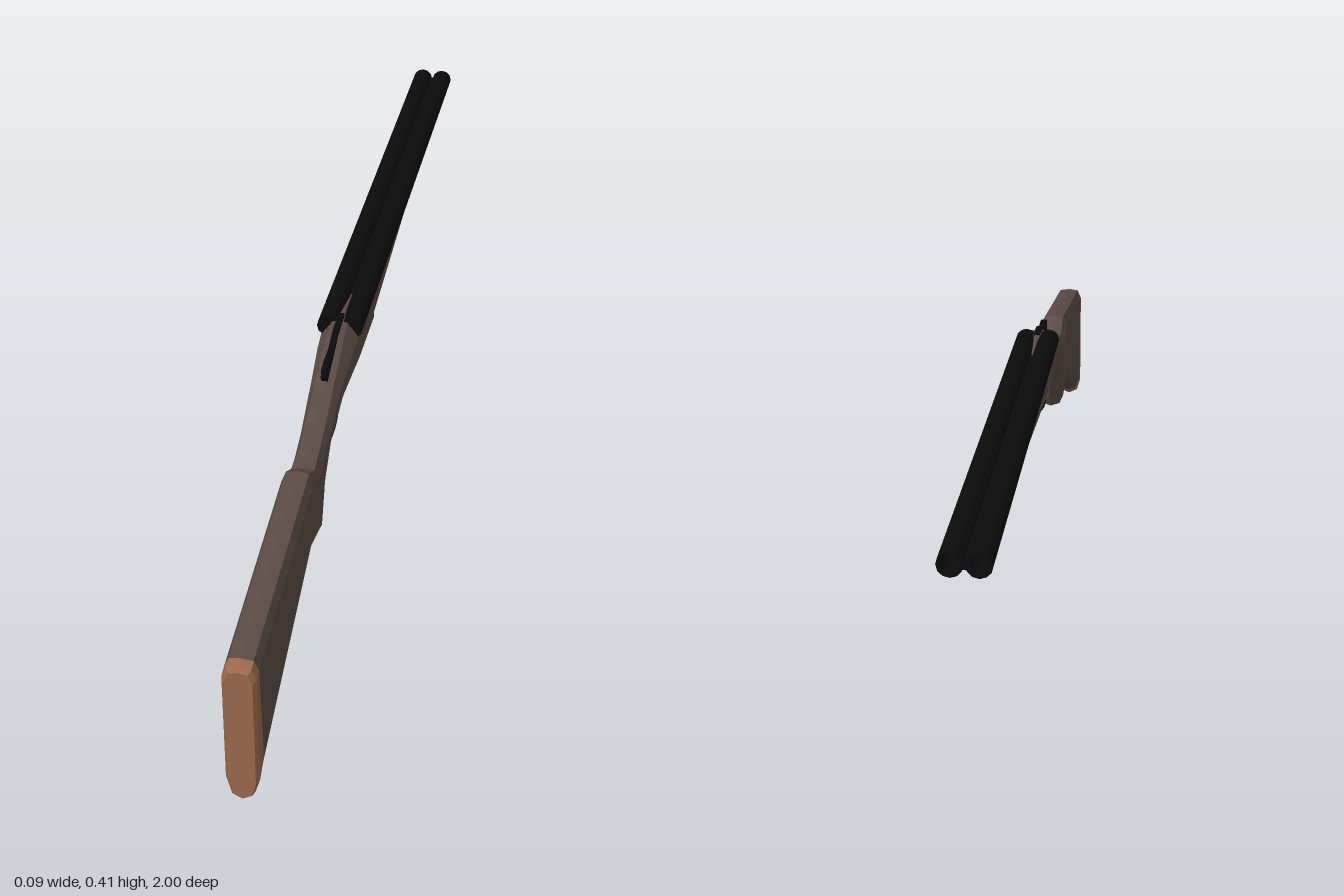
import * as THREE from 'three';

const mat = (name, color) => {
  const m = new THREE.MeshStandardMaterial({ color });
  m.name = name;
  return m;
};

// Closed faceted loft. Each station: [zTop, yTop, zBottom, yBottom, halfWidth, topBevel, bottomBevel, topRatio]
function loft(stations) {
  const rings = stations.map(([zt, yt, zb, yb, w, ct, cb, k]) => {
    const side = [
      [0.72 * w, yb + 0.25 * cb], [w, yb + cb], [w, yt - ct], [k * w, yt - 0.12 * ct],
    ];
    const pts = [[0, yb], ...side, [0, yt], ...side.map(([x, y]) => [-x, y]).reverse()];
    return pts.map(([x, y]) => new THREE.Vector3(x, y, zb + (zt - zb) * (y - yb) / (yt - yb)));
  });
  const tris = [];
  const n = rings[0].length;
  for (let i = 0; i < rings.length - 1; i++) {
    for (let j = 0; j < n; j++) {
      const a = rings[i][j], b = rings[i][(j + 1) % n];
      const c = rings[i + 1][(j + 1) % n], d = rings[i + 1][j];
      tris.push(a, d, b, b, d, c);
    }
  }
  const first = rings[0], last = rings[rings.length - 1];
  for (let j = 1; j < n - 1; j++) {
    tris.push(first[0], first[j], first[j + 1], last[0], last[j + 1], last[j]);
  }
  const g = new THREE.BufferGeometry().setFromPoints(tris);
  g.computeVertexNormals();
  return g;
}

// Round bar through [z, y] points in the middle plane
function bar(points, radius, closed = false) {
  const curve = new THREE.CatmullRomCurve3(points.map(([z, y]) => new THREE.Vector3(0, y, z)), closed);
  return new THREE.TubeGeometry(curve, closed ? 28 : 10, radius, 6, closed).scale(1.3, 1, 1);
}

export function createModel() {
  const model = new THREE.Group();
  const wood = mat('dark wood', 0x5a4a44);
  const pad = mat('butt pad brown', 0x99674d);
  const steel = mat('black steel', 0x0b0b0b);
  const add = (name, geometry, material) => {
    const mesh = new THREE.Mesh(geometry, material);
    mesh.name = name;
    model.add(mesh);
    return mesh;
  };

  // Butt pad
  add('buttPad', loft([
    [1, 0.262, 1, 0, 0.023, 0.022, 0.035, 0.7],
    [0.992, 0.267, 0.992, 0.003, 0.028, 0.022, 0.035, 0.72],
    [0.975, 0.271, 0.96, 0.021, 0.028, 0.022, 0.035, 0.72],
  ]), pad);

  // Stock, grip, neck and receiver in one flowing body
  add('stockAndReceiver', loft([
    [0.975, 0.271, 0.96, 0.021, 0.028, 0.022, 0.035, 0.72],
    [0.545, 0.327, 0.58, 0.168, 0.028, 0.022, 0.026, 0.72],
    [0.50, 0.302, 0.47, 0.143, 0.027, 0.022, 0.024, 0.72],
    [0.465, 0.306, 0.43, 0.215, 0.026, 0.022, 0.022, 0.72],
    [0.41, 0.32, 0.37, 0.265, 0.026, 0.018, 0.018, 0.7],
    [0.29, 0.366, 0.28, 0.298, 0.029, 0.024, 0.018, 0.6],
    [0.2, 0.398, 0.2, 0.302, 0.034, 0.034, 0.02, 0.48],
    [0.15, 0.404, 0.15, 0.302, 0.036, 0.034, 0.02, 0.4],
    [0, 0.385, 0, 0.301, 0.037, 0.024, 0.022, 0.4],
  ]), wood);

  // Forend under the barrels
  add('forend', loft([
    [0, 0.382, 0, 0.305, 0.036, 0.02, 0.025, 0.6],
    [-0.43, 0.38, -0.43, 0.331, 0.032, 0.014, 0.022, 0.6],
    [-0.452, 0.378, -0.452, 0.34, 0.027, 0.012, 0.018, 0.6],
    [-0.457, 0.376, -0.457, 0.35, 0.02, 0.01, 0.012, 0.6],
  ]), wood);

  // Twin barrels with recessed bores
  const profile = [[0, 0.16], [0.021, 0.16], [0.021, -1], [0.016, -1], [0.016, -0.9], [0, -0.9]]
    .map(([r, z]) => new THREE.Vector2(r, -z)).reverse();
  const barrel = new THREE.LatheGeometry(profile.reverse(), 12).toNonIndexed();
  barrel.rotateX(-Math.PI / 2);
  barrel.computeVertexNormals();
  for (const s of [1, -1]) {
    add(s > 0 ? 'leftBarrel' : 'rightBarrel', barrel, steel).position.set(s * 0.0222, 0.388, 0);
  }

  // Rib joining the barrels
  const rib = new THREE.BoxGeometry(0.014, 0.014, 1.03).translate(0, 0.385, -0.48);
  add('barrelRib', rib, steel);

  // Opening lever on the tang
  const leverShape = new THREE.Shape([
    [0.308, 0.386], [0.315, 0.372], [0.303, 0.357], [0.28, 0.362], [0.24, 0.376], [0.14, 0.396],
    [0.14, 0.407], [0.19, 0.406], [0.25, 0.39], [0.285, 0.391],
  ].map(([z, y]) => new THREE.Vector2(z, y)));
  const lever = new THREE.ExtrudeGeometry(leverShape, { depth: 0.011, bevelEnabled: false });
  lever.translate(0, 0, -0.0055).rotateY(-Math.PI / 2);
  add('openingLever', lever, steel);

  // Trigger guard, its tail and the two triggers
  add('triggerGuard', bar([
    [0.325, 0.262], [0.31, 0.285], [0.26, 0.294], [0.21, 0.285],
    [0.192, 0.258], [0.212, 0.225], [0.26, 0.214], [0.308, 0.228],
  ], 0.0045, true), steel);
  add('guardTail', bar([[0.372, 0.268], [0.35, 0.255], [0.322, 0.252]], 0.0045), steel);
  for (const z of [0.292, 0.25]) {
    add('trigger', bar([[z - 0.012, 0.302], [z + 0.004, 0.272], [z + 0.002, 0.25], [z - 0.014, 0.232]], 0.004), steel);
  }

  return model;
}
